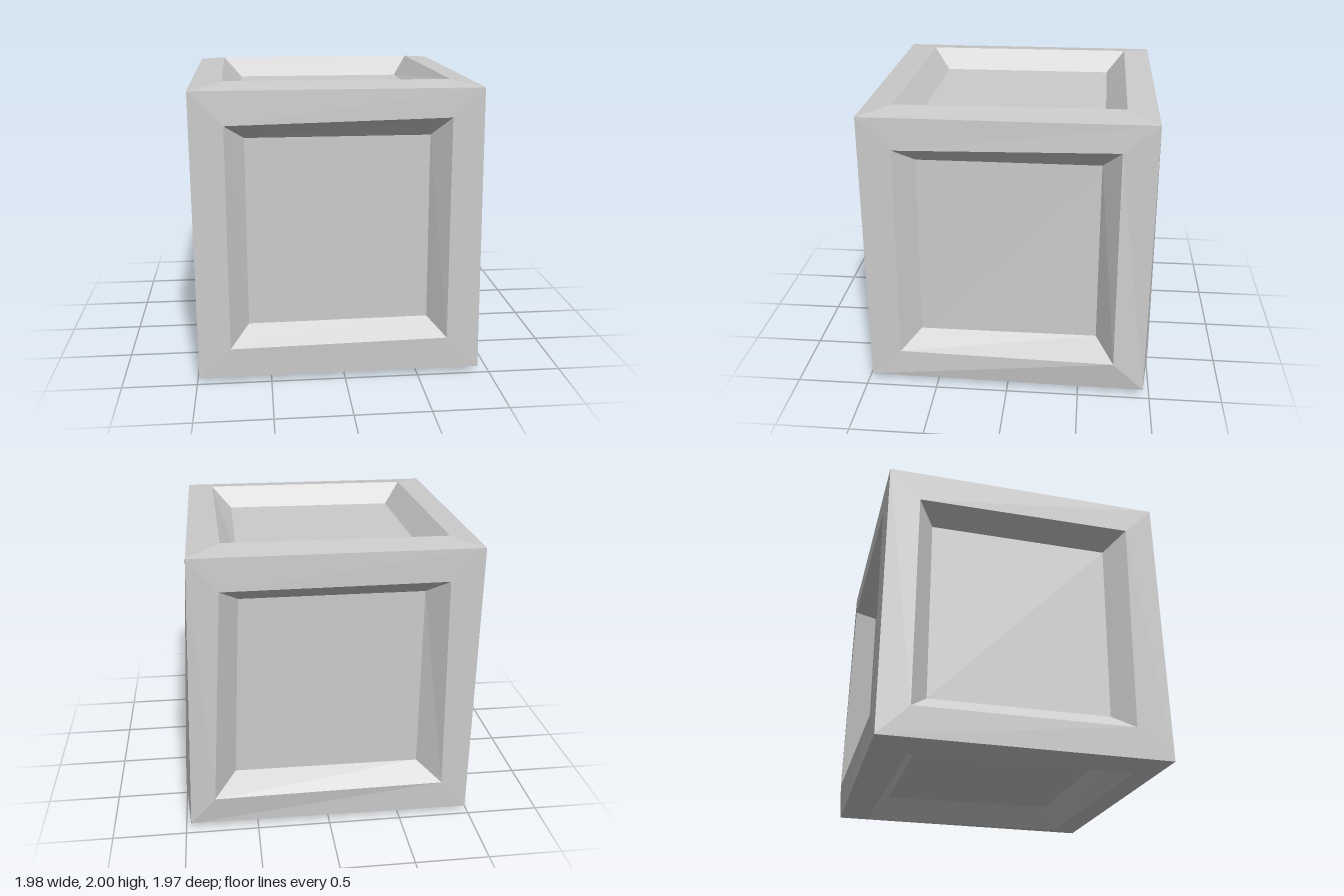
import * as THREE from 'three';

// Outer corners, slightly uneven: L/R = -x/+x, B/T = bottom/top, K/F = back/front
const C = {
  LBF: [-0.985, 0.035, 0.98], RBF: [0.925, 0.035, 0.975],
  RTF: [0.895, 1.97, 0.965], LTF: [-0.99, 1.97, 0.965],
  LBK: [-0.985, 0.035, -0.96], RBK: [0.965, 0.045, -0.955],
  RTK: [0.895, 1.97, -0.96], LTK: [-0.99, 1.97, -0.96],
};

// Each side runs counter-clockwise seen from outside: corners, rim of the recess, recess floor
const sides = [
  { name: 'front', corners: ['LBF', 'RBF', 'RTF', 'LTF'],
    rim: [[-0.77, 0.24, 0.985], [0.70, 0.26, 0.98], [0.69, 1.78, 0.97], [-0.77, 1.75, 0.975]],
    floor: [[-0.645, 0.355, 0.83], [0.585, 0.365, 0.83], [0.575, 1.645, 0.83], [-0.645, 1.645, 0.83]] },
  { name: 'back', corners: ['RBK', 'LBK', 'LTK', 'RTK'],
    rim: [[0.79, 0.25, -0.985], [-0.80, 0.25, -0.965], [-0.77, 1.755, -0.965], [0.70, 1.75, -0.97]],
    floor: [[0.64, 0.36, -0.81], [-0.645, 0.36, -0.82], [-0.645, 1.645, -0.82], [0.58, 1.645, -0.82]] },
  { name: 'left', corners: ['RBF', 'RBK', 'RTK', 'RTF'],
    rim: [[0.925, 0.24, 0.76], [0.99, 0.26, -0.74], [0.91, 1.785, -0.73], [0.905, 1.755, 0.74]],
    floor: [[0.78, 0.35, 0.63], [0.80, 0.365, -0.615], [0.77, 1.645, -0.61], [0.77, 1.645, 0.615]] },
  { name: 'right', corners: ['LBK', 'LBF', 'LTF', 'LTK'],
    rim: [[-0.99, 0.24, -0.75], [-0.99, 0.245, 0.73], [-0.99, 1.765, 0.76], [-0.99, 1.755, -0.745]],
    floor: [[-0.85, 0.355, -0.63], [-0.85, 0.36, 0.61], [-0.85, 1.645, 0.63], [-0.85, 1.645, -0.63]] },
  { name: 'top', corners: ['LTF', 'RTF', 'RTK', 'LTK'],
    rim: [[-0.78, 2, 0.74], [0.71, 2, 0.76], [0.68, 2, -0.755], [-0.80, 2, -0.77]],
    floor: [[-0.655, 1.86, 0.615], [0.57, 1.86, 0.63], [0.57, 1.86, -0.625], [-0.665, 1.86, -0.635]] },
  { name: 'bottom', corners: ['LBK', 'RBK', 'RBF', 'LBF'],
    rim: [[-0.78, 0, -0.73], [0.79, 0, -0.76], [0.72, 0, 0.75], [-0.79, 0, 0.77]],
    floor: [[-0.65, 0.14, -0.62], [0.63, 0.14, -0.63], [0.58, 0.14, 0.62], [-0.65, 0.14, 0.63]] },
];

const quad = (a, b, c, d) => [a, b, c, a, c, d].flat();

// Four quads joining an outer loop to an inner loop
const band = (outer, inner) => outer.flatMap((p, i) => {
  const j = (i + 1) % 4;
  return quad(p, outer[j], inner[j], inner[i]);
});

export function createModel() {
  const crate = new THREE.Group();
  crate.name = 'crate';
  const material = new THREE.MeshStandardMaterial({ color: 0xcccccc, flatShading: true });

  const addPart = (group, name, points) => {
    const geometry = new THREE.BufferGeometry();
    geometry.setAttribute('position', new THREE.Float32BufferAttribute(points, 3));
    geometry.computeVertexNormals();
    const mesh = new THREE.Mesh(geometry, material);
    mesh.name = name;
    group.add(mesh);
  };

  for (const { name, corners, rim, floor } of sides) {
    const side = new THREE.Group();
    side.name = `${name}Side`;
    // Border, sloped recess walls and sunken panel
    addPart(side, `${name}Border`, band(corners.map((key) => C[key]), rim));
    addPart(side, `${name}RecessWalls`, band(rim, floor));
    addPart(side, `${name}Panel`, quad(...floor));
    crate.add(side);
  }
  return crate;
}
